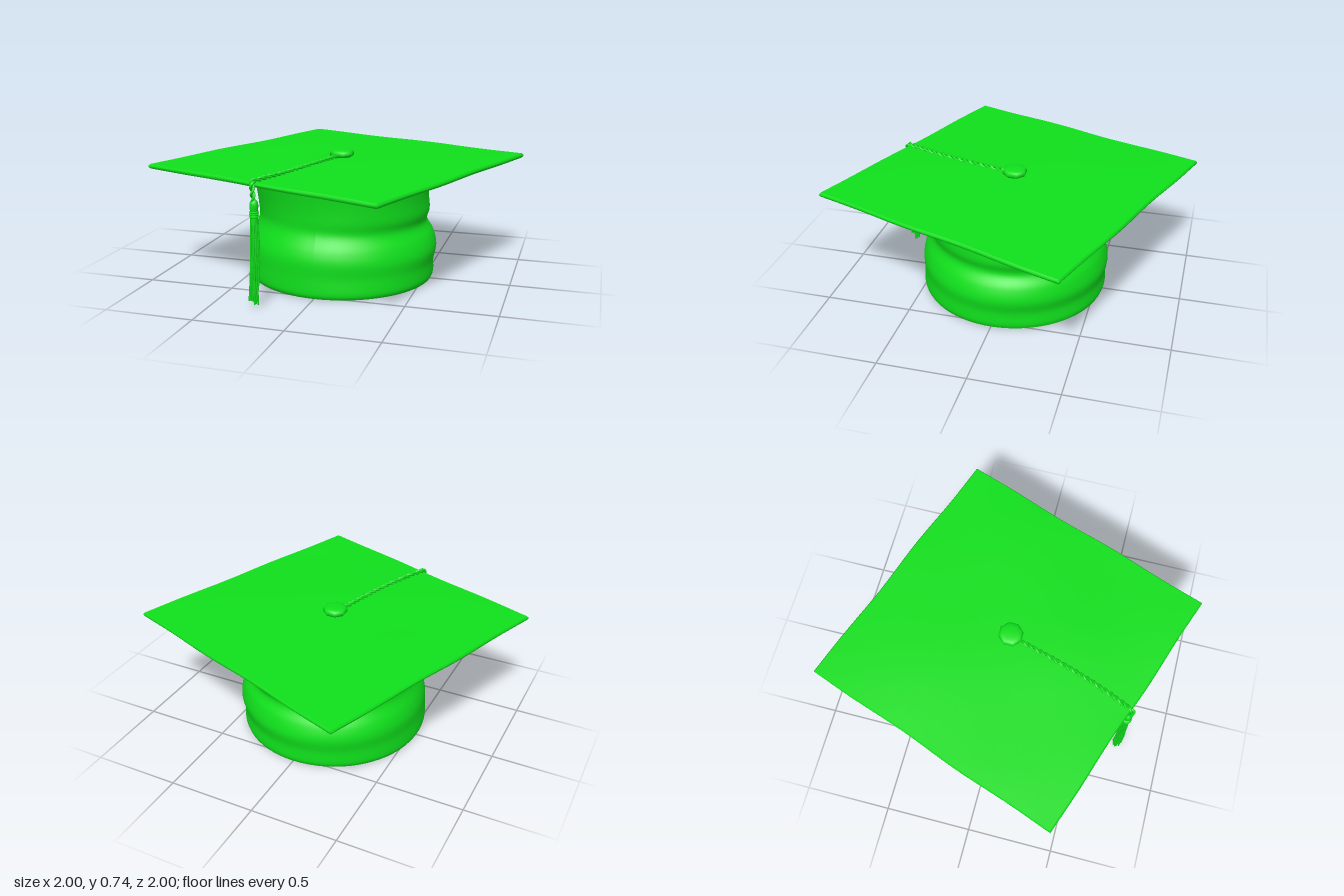
import * as THREE from 'three';

const material = new THREE.MeshStandardMaterial({ color: 0x10e01c, side: THREE.DoubleSide });
const V = (x, y, z) => new THREE.Vector3(x, y, z);

function part(name, geometry) {
  const mesh = new THREE.Mesh(geometry, material);
  mesh.name = name;
  return mesh;
}

// Smooth profile through [radius, y] points
function smooth(points, n) {
  return new THREE.SplineCurve(points.map(p => new THREE.Vector2(...p))).getPoints(n);
}

// Soft cap: its folds blend between two wall profiles on opposite sides
function cap() {
  const n = 48, around = 72;
  const front = smooth([[.53, 0], [.545, .03], [.543, .12], [.54, .2], [.525, .26], [.488, .35], [.486, .42], [.498, .52], [.525, .668]], n);
  const back = smooth([[.54, 0], [.548, .03], [.546, .1], [.56, .18], [.54, .26], [.502, .33], [.52, .4], [.512, .5], [.518, .668]], n);
  const inner = [[.5, .66], [.47, .4], [.49, .22], [.515, .02]].map(p => new THREE.Vector2(...p));
  const profile = [...front, ...inner, front[0].clone()];
  const geo = new THREE.LatheGeometry(profile, around);
  const pos = geo.attributes.position;
  for (let i = 0; i < pos.count; i++) {
    const row = i % profile.length;
    if (row > n && row < profile.length - 1) continue;
    const k = row > n ? 0 : row;
    const a = Math.atan2(pos.getZ(i), pos.getX(i));
    const w = .5 + .5 * Math.cos(a + Math.PI / 4);
    const p = front[k].clone().lerp(back[k], w);
    const ripple = .004 * Math.sin(3 * a + p.y * 9) * Math.sin(Math.PI * k / n);
    const r = p.x + ripple;
    pos.setXYZ(i, r * Math.cos(a), p.y, r * Math.sin(a));
  }
  geo.computeVertexNormals();
  return part('cap', geo);
}

// Square board, slightly domed, with softened rim and gently wavy surface
function board() {
  const size = 1.563, h = .026;
  const geo = new THREE.BoxGeometry(size, h, size, 32, 3, 32);
  const pos = geo.attributes.position;
  for (let i = 0; i < pos.count; i++) {
    let x = pos.getX(i), y = pos.getY(i), z = pos.getZ(i);
    const u = 2 * x / size, v = 2 * z / size;
    if (Math.abs(y) > h * .4) {
      x *= 1 - .009 * Math.abs(u) ** 20;
      z *= 1 - .009 * Math.abs(v) ** 20;
    }
    const dome = (1 - u * u) * (1 - v * v);
    if (y > 0) y += .012 * dome + .003 * Math.sin(5 * u + 1) * Math.sin(4 * v) * (1 - u * u * v * v);
    // Small dents along the edges
    x += .005 * u * Math.sin(v * 6) * (1 - v * v);
    z += .005 * v * Math.sin(u * 6) * (1 - u * u);
    pos.setXYZ(i, x, y, z);
  }
  geo.computeVertexNormals();
  const mesh = part('board', geo);
  mesh.position.y = .668;
  mesh.rotation.y = -.346;
  return mesh;
}

// Eight-sided rounded button
function button() {
  const geo = new THREE.LatheGeometry(
    smooth([[.04, .685], [.066, .698], [.071, .714], [.062, .73], [.035, .737], [0, .739]], 14), 8);
  geo.rotateY(Math.PI / 8);
  return part('button', geo);
}

// Two strands wound around a path
function cord() {
  const group = new THREE.Group();
  group.name = 'cord';
  const path = new THREE.CatmullRomCurve3([
    V(-.02, .7, .05), V(-.075, .697, .25), V(-.15, .693, .49), V(-.235, .69, .7),
    V(-.255, .684, .742), V(-.253, .65, .752), V(-.252, .58, .742)]);
  const n = 140, frames = path.computeFrenetFrames(n);
  for (const phase of [0, Math.PI]) {
    const pts = path.getSpacedPoints(n).map((p, i) => p
      .addScaledVector(frames.normals[i], .008 * Math.cos(i * .5 + phase))
      .addScaledVector(frames.binormals[i], .008 * Math.sin(i * .5 + phase)));
    group.add(part('cordStrand', new THREE.TubeGeometry(new THREE.CatmullRomCurve3(pts), 200, .0075, 6)));
  }
  return group;
}

// Tassel: bound head above a loose ring of threads
function tassel() {
  const group = new THREE.Group();
  group.name = 'tassel';
  group.add(part('tasselHead', new THREE.LatheGeometry(
    smooth([[.021, .46], [.021, .5], [.019, .52], [.023, .55], [.021, .575], [.008, .592], [0, .594]], 20), 12)));
  for (const y of [.5, .512, .524]) {
    const band = part('tasselBand', new THREE.TorusGeometry(.021, .005, 6, 16));
    band.rotation.x = Math.PI / 2;
    band.position.y = y;
    group.add(band);
  }
  for (let i = 0; i < 26; i++) {
    const a = i * 2.4, r = .023 * Math.sqrt((i + .5) / 26);
    const c = Math.cos(a), s = Math.sin(a), sway = .004 * Math.sin(i * 5);
    const thread = new THREE.CatmullRomCurve3([
      V(c * r * .75, .5, s * r * .75),
      V(c * r + sway, .35, s * r - sway),
      V(c * r * 1.05 - .006 - sway, .18, s * r * 1.05 + sway),
      V(c * r * 1.15 - .014 + sway, .012 + .045 * (i * .618 % 1), s * r * 1.15)]);
    group.add(part('tasselThread', new THREE.TubeGeometry(thread, 14, .0042, 5)));
  }
  group.position.set(-.252, 0, .738);
  return group;
}

export function createModel() {
  const model = new THREE.Group();
  model.name = 'graduationCap';
  model.add(cap(), board(), button(), cord(), tassel());
  return model;
}
